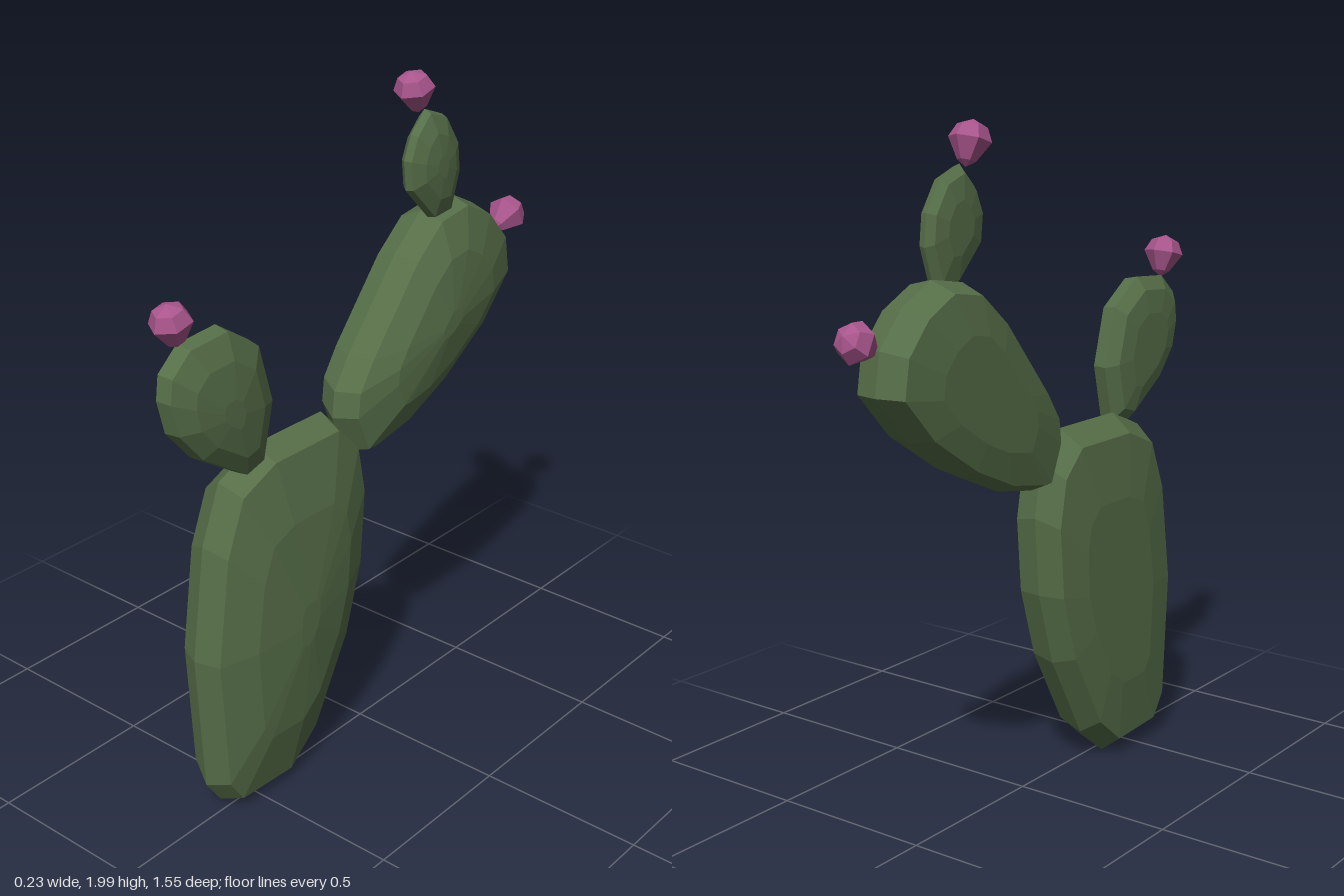
import * as THREE from 'three';

const green = new THREE.MeshStandardMaterial({ color: 0x566e48 });
green.name = 'cactusGreen';
const pink = new THREE.MeshStandardMaterial({ color: 0xa8558c });
pink.name = 'budPink';

// Sections across a pad's thickness: [x, outline scale]
const THICK = [[-0.118, 0.55], [-0.1, 0.9], [-0.03, 1], [0.05, 0.94], [0.092, 0.6], [0.112, 0.12]];
const MEDIUM = [[-0.06, 0.5], [-0.05, 0.82], [-0.02, 1], [0.025, 0.96], [0.055, 0.65], [0.068, 0.2]];
const THIN = [[-0.032, 0.45], [-0.022, 0.85], [0, 1], [0.022, 0.94], [0.042, 0.6], [0.05, 0.2]];

// Faceted pad: a (z, y) outline scaled about its middle through the sections
function pad(name, outline, sections) {
  const n = outline.length;
  const mid = axis => {
    const v = outline.map(p => p[axis]);
    return (Math.min(...v) + Math.max(...v)) / 2;
  };
  const cz = mid(0), cy = mid(1);
  const rings = sections.map(([x, s]) =>
    outline.map(([z, y]) => [x, cy + (y - cy) * s, cz + (z - cz) * s]));
  const pos = [];
  const tri = (a, b, c) => pos.push(...a, ...b, ...c);
  const first = rings[0], last = rings[rings.length - 1];
  for (let i = 0; i < n; i++) {
    const j = (i + 1) % n;
    for (let k = 0; k < rings.length - 1; k++) {
      const a = rings[k], b = rings[k + 1];
      tri(a[i], a[j], b[j]);
      tri(a[i], b[j], b[i]);
    }
    tri([first[0][0], cy, cz], first[j], first[i]);
    tri([last[0][0], cy, cz], last[i], last[j]);
  }
  const geo = new THREE.BufferGeometry();
  geo.setAttribute('position', new THREE.Float32BufferAttribute(pos, 3));
  geo.computeVertexNormals();
  const mesh = new THREE.Mesh(geo, green);
  mesh.name = name;
  return mesh;
}

// Faceted bud: narrow tip at the base, widening towards its crown
function bud(name, y, z, dy, dz) {
  const profile = [[0, 0], [0.026, 0.018], [0.06, 0.075], [0.042, 0.112], [0, 0.13]]
    .map(p => new THREE.Vector2(...p));
  const geo = new THREE.LatheGeometry(profile, 6).toNonIndexed();
  geo.computeVertexNormals();
  const mesh = new THREE.Mesh(geo, pink);
  mesh.name = name;
  mesh.position.set(-0.012, y, z);
  mesh.quaternion.setFromUnitVectors(
    new THREE.Vector3(0, 1, 0), new THREE.Vector3(0, dy, dz).normalize());
  return mesh;
}

export function createModel() {
  const cactus = new THREE.Group();
  cactus.name = 'cactus';
  cactus.add(
    pad('mainPad', [
      [0.6, 0.01], [0.38, 0], [0.26, 0.1], [0.11, 0.37], [0.04, 0.6], [0.02, 0.84], [0.05, 1.0],
      [0.14, 1.09], [0.42, 1.09], [0.56, 1.03], [0.63, 0.86], [0.68, 0.52], [0.655, 0.09],
    ], THICK),
    pad('rearArmPad', [
      [0.04, 0.93], [0, 0.93], [-0.16, 0.96], [-0.34, 1.04], [-0.54, 1.17], [-0.67, 1.31],
      [-0.65, 1.43], [-0.56, 1.53], [-0.44, 1.59], [-0.31, 1.57], [-0.19, 1.47],
      [0.02, 1.22], [0.08, 1.13], [0.09, 1.05],
    ], THICK),
    pad('frontArmPad', [
      [0.5, 1.04], [0.43, 1.06], [0.39, 1.23], [0.44, 1.41], [0.56, 1.49], [0.7, 1.48],
      [0.77, 1.42], [0.78, 1.35], [0.755, 1.25], [0.67, 1.15],
    ], MEDIUM),
    pad('topPad', [
      [-0.31, 1.55], [-0.39, 1.55], [-0.43, 1.67], [-0.42, 1.76], [-0.36, 1.85],
      [-0.28, 1.88], [-0.22, 1.82], [-0.19, 1.75], [-0.2, 1.66],
    ], THIN),
    bud('topBud', 1.87, -0.27, 1, 0.3),
    bud('frontBud', 1.475, 0.705, 1, 0.25),
    bud('rearBud', 1.425, -0.65, 0.5, -1),
  );
  return cactus;
}
